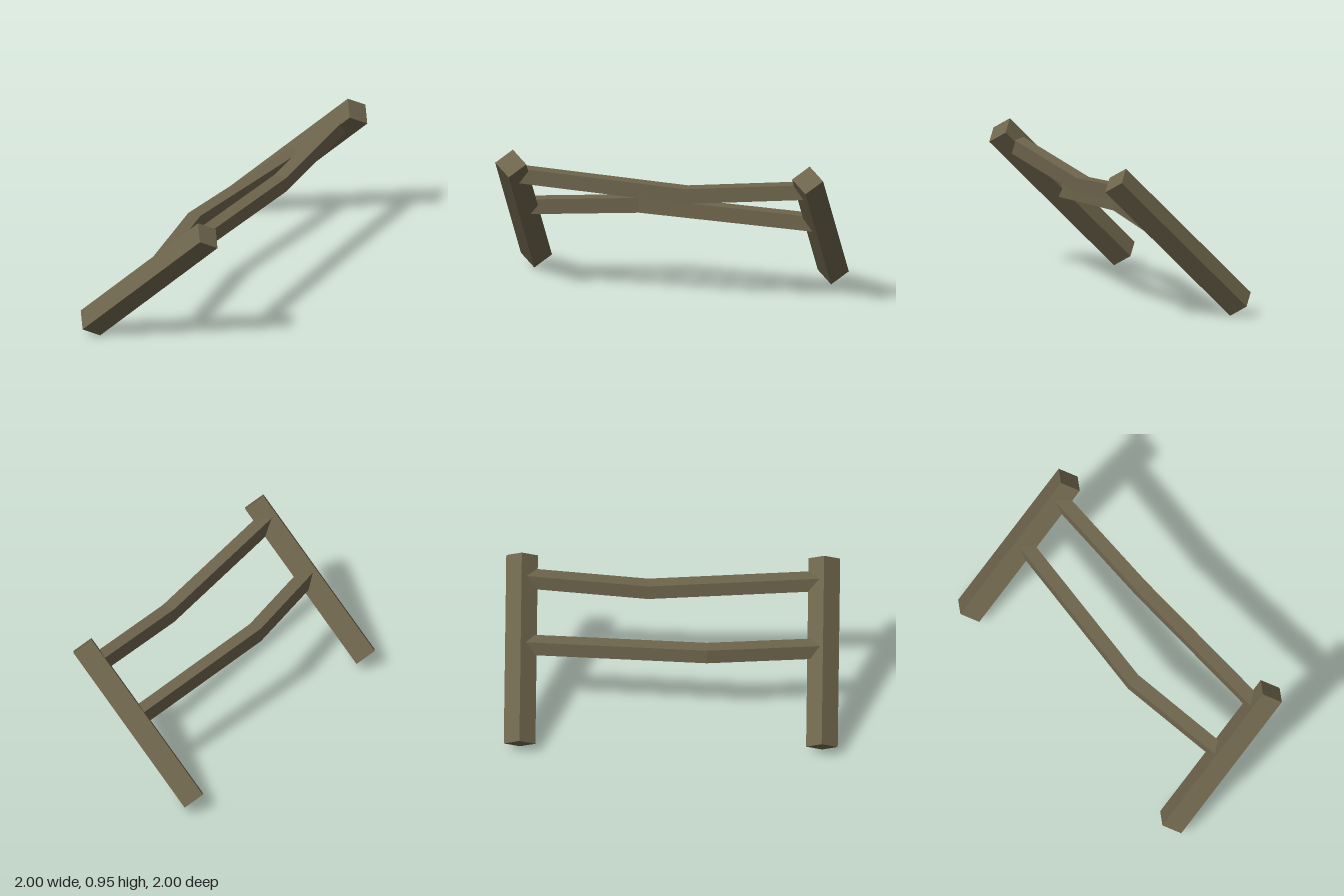
import * as THREE from 'three';

const wood = new THREE.MeshStandardMaterial({ color: 0x6e654c });
wood.name = 'weathered wood';

// Square post leaning 45 degrees, turned so an edge faces the other post
function makePost(name, x, z) {
  const geo = new THREE.BoxGeometry(0.135, 1.153, 0.135).rotateY(Math.PI / 4);
  const across = new THREE.Vector3(1, 0, -1).normalize();
  const along = new THREE.Vector3(1, Math.SQRT2, 1).normalize();
  const side = new THREE.Vector3().crossVectors(across, along);
  geo.applyMatrix4(new THREE.Matrix4().makeBasis(across, along, side));
  const post = new THREE.Mesh(geo, wood);
  post.name = name;
  post.position.set(x, 0.475, z);
  return post;
}

// Rail with upright rectangular sections, mitred at its bend
function makeRail(name, path, width, height) {
  const pts = path.map((p) => new THREE.Vector3(...p));
  const dirs = pts.slice(1).map((p, i) => p.clone().sub(pts[i]).setY(0).normalize());
  const rings = pts.map((p, i) => {
    const a = dirs[Math.max(i - 1, 0)];
    const b = dirs[Math.min(i, dirs.length - 1)];
    const t = a.clone().add(b).normalize();
    const half = width / 2 / t.dot(a);
    const left = new THREE.Vector3(t.z, 0, -t.x).multiplyScalar(half);
    return [[1, -1], [1, 1], [-1, 1], [-1, -1]].map(([l, u]) =>
      p.clone().addScaledVector(left, l).add(new THREE.Vector3(0, u * height / 2, 0)));
  });
  const pos = [];
  const quad = (a, b, c, d) => [a, b, c, a, c, d].forEach((v) => pos.push(v.x, v.y, v.z));
  for (let i = 0; i < rings.length - 1; i++) {
    for (let k = 0; k < 4; k++) {
      const n = (k + 1) % 4;
      quad(rings[i][k], rings[i][n], rings[i + 1][n], rings[i + 1][k]);
    }
  }
  const s = rings[0], e = rings[rings.length - 1];
  quad(s[3], s[2], s[1], s[0]);
  quad(e[0], e[1], e[2], e[3]);
  const geo = new THREE.BufferGeometry();
  geo.setAttribute('position', new THREE.Float32BufferAttribute(pos, 3));
  geo.computeVertexNormals();
  const rail = new THREE.Mesh(geo, wood);
  rail.name = name;
  return rail;
}

export function createModel() {
  const fence = new THREE.Group();
  fence.name = 'leaningFence';
  fence.add(
    makePost('rightPost', -0.645, 0.645),
    makePost('leftPost', 0.645, -0.645),
    // Rails run from post centre to post centre
    makeRail('upperRail', [[-0.43, 0.79, 0.86], [0.32, 0.717, 0.11], [0.86, 0.788, -0.43]], 0.082, 0.093),
    makeRail('lowerRail', [[-0.63, 0.501, 0.64], [-0.21, 0.523, 0.09], [0.66, 0.497, -0.63]], 0.082, 0.093),
  );
  return fence;
}
